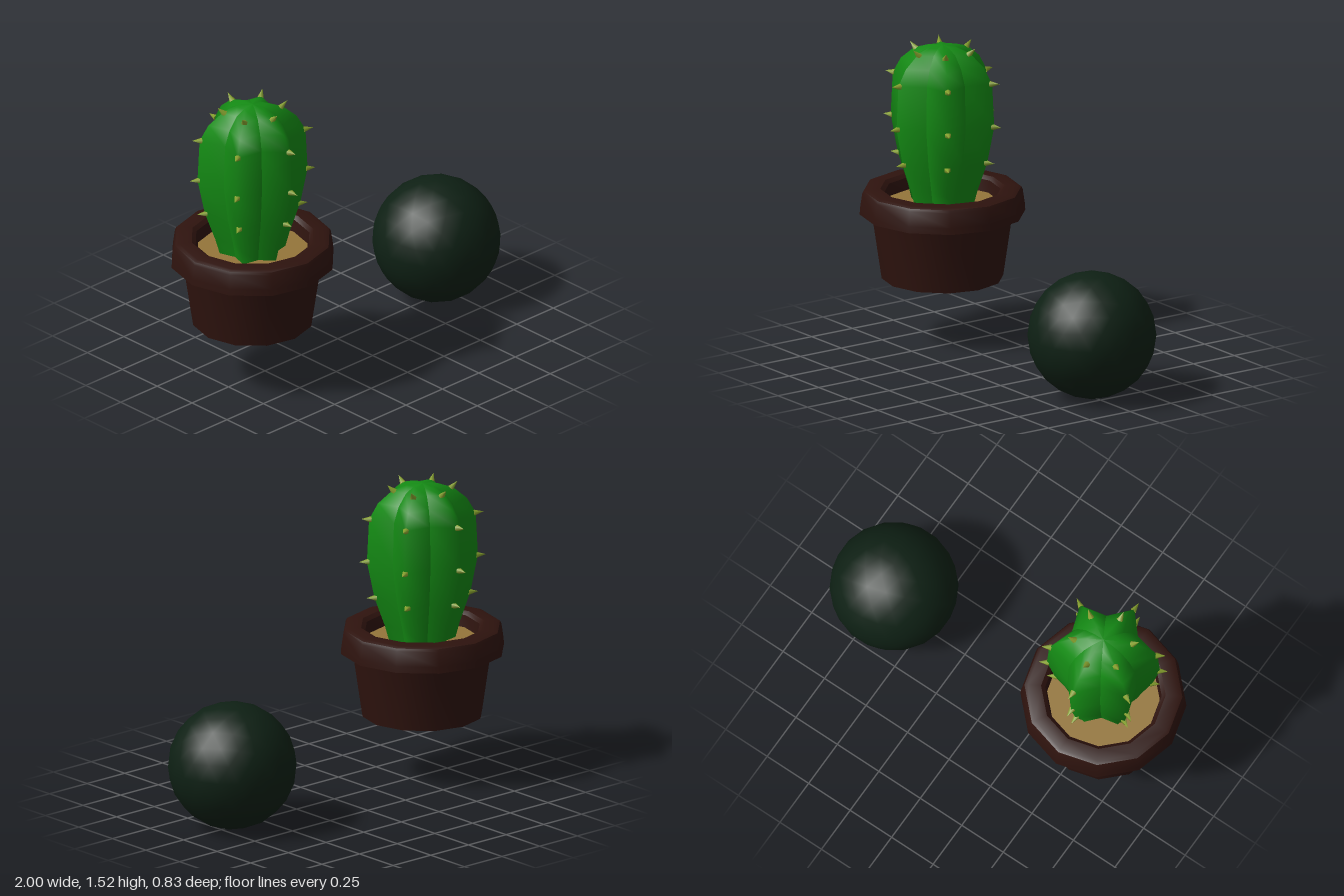
import * as THREE from 'three';
import { toCreasedNormals, mergeGeometries } from 'three/addons/utils/BufferGeometryUtils.js';

const material = (color, side = THREE.FrontSide) =>
  new THREE.MeshStandardMaterial({ color, side, roughness: 0.8 });

function part(name, geometry, mat) {
  const mesh = new THREE.Mesh(geometry, mat);
  mesh.name = name;
  return mesh;
}

// Twelve-sided turned shape with sharp profile corners
function turned(profile) {
  const points = profile.map(([r, y]) => new THREE.Vector2(r, y));
  return toCreasedNormals(new THREE.LatheGeometry(points, 12), 0.6);
}

// Ridge radius at each height of the cactus
const CACTUS = [
  [0.165, 0.7], [0.19, 0.79], [0.243, 0.94], [0.281, 1.13], [0.27, 1.35],
  [0.225, 1.43], [0.155, 1.49], [0.08, 1.515], [0, 1.522],
];
const RIBS = 6;
const VALLEY = 0.7;

// One rib: valley, ridge, valley; normals are smooth within the rib, creased between ribs
function ribGeometry(angle) {
  const positions = [], index = [];
  for (const [r, y] of CACTUS) {
    for (let c = -1; c <= 1; c++) {
      const a = angle + (c * Math.PI) / RIBS;
      const radius = c === 0 ? r : r * VALLEY;
      positions.push(radius * Math.sin(a), y, radius * Math.cos(a));
    }
  }
  for (let row = 0; row < CACTUS.length - 1; row++) {
    for (let c = 0; c < 2; c++) {
      const i = row * 3 + c;
      index.push(i, i + 1, i + 3);
      if (row < CACTUS.length - 2) index.push(i + 1, i + 4, i + 3);
    }
  }
  const g = new THREE.BufferGeometry();
  g.setAttribute('position', new THREE.Float32BufferAttribute(positions, 3));
  g.setIndex(index);
  g.computeVertexNormals();
  return g;
}

// Spines on a ridge: radius, height and upward tilt
const SPINES = [[0.243, 0.94, 0], [0.281, 1.13, 0], [0.27, 1.35, 0.1], [0.15, 1.493, 0.8]];

function spineGeometry(angle, [r, y, tilt]) {
  const g = new THREE.ConeGeometry(0.017, 0.05, 6);
  g.translate(0, 0.015, 0);
  g.rotateX(Math.PI / 2 - tilt);
  g.translate(0, y, r);
  g.rotateY(angle);
  return g;
}

export function createModel() {
  const model = new THREE.Group();
  model.name = 'pottedCactusAndBall';

  const plant = new THREE.Group();
  plant.name = 'pottedCactus';
  plant.position.x = -0.585;
  model.add(plant);

  // Pot with its thick rim, and the soil inside
  const clay = material(0x2e130e);
  plant.add(part('pot', turned([[0, 0.325], [0.303, 0.325], [0.352, 0.66]]), clay));
  plant.add(part('potRim', turned([
    [0.345, 0.658], [0.413, 0.658], [0.411, 0.69], [0.4, 0.765], [0.393, 0.779],
    [0.375, 0.787], [0.31, 0.787], [0.29, 0.77], [0.277, 0.69],
  ]), clay));
  const soil = new THREE.CircleGeometry(0.29, 12).rotateX(-Math.PI / 2).translate(0, 0.71, 0);
  plant.add(part('soil', soil, material(0x94753a)));

  // Ribbed cactus body and its spines
  const ribs = [], spines = [];
  for (let i = 0; i < RIBS; i++) {
    const angle = (i * Math.PI * 2) / RIBS;
    ribs.push(ribGeometry(angle));
    for (const spine of SPINES) spines.push(spineGeometry(angle, spine));
  }
  plant.add(part('cactusBody', mergeGeometries(ribs), material(0x148a14)));
  plant.add(part('cactusSpines', mergeGeometries(spines), material(0x86a02e)));

  // Dark ball, a subdivided icosahedron standing on one corner
  const ball = new THREE.IcosahedronGeometry(0.32, 3);
  ball.rotateZ(-Math.atan(2 / (1 + Math.sqrt(5))));
  const ballMesh = part('ball', ball, material(0x0e2014));
  ballMesh.position.set(0.677, 0.322, 0);
  model.add(ballMesh);

  return model;
}
